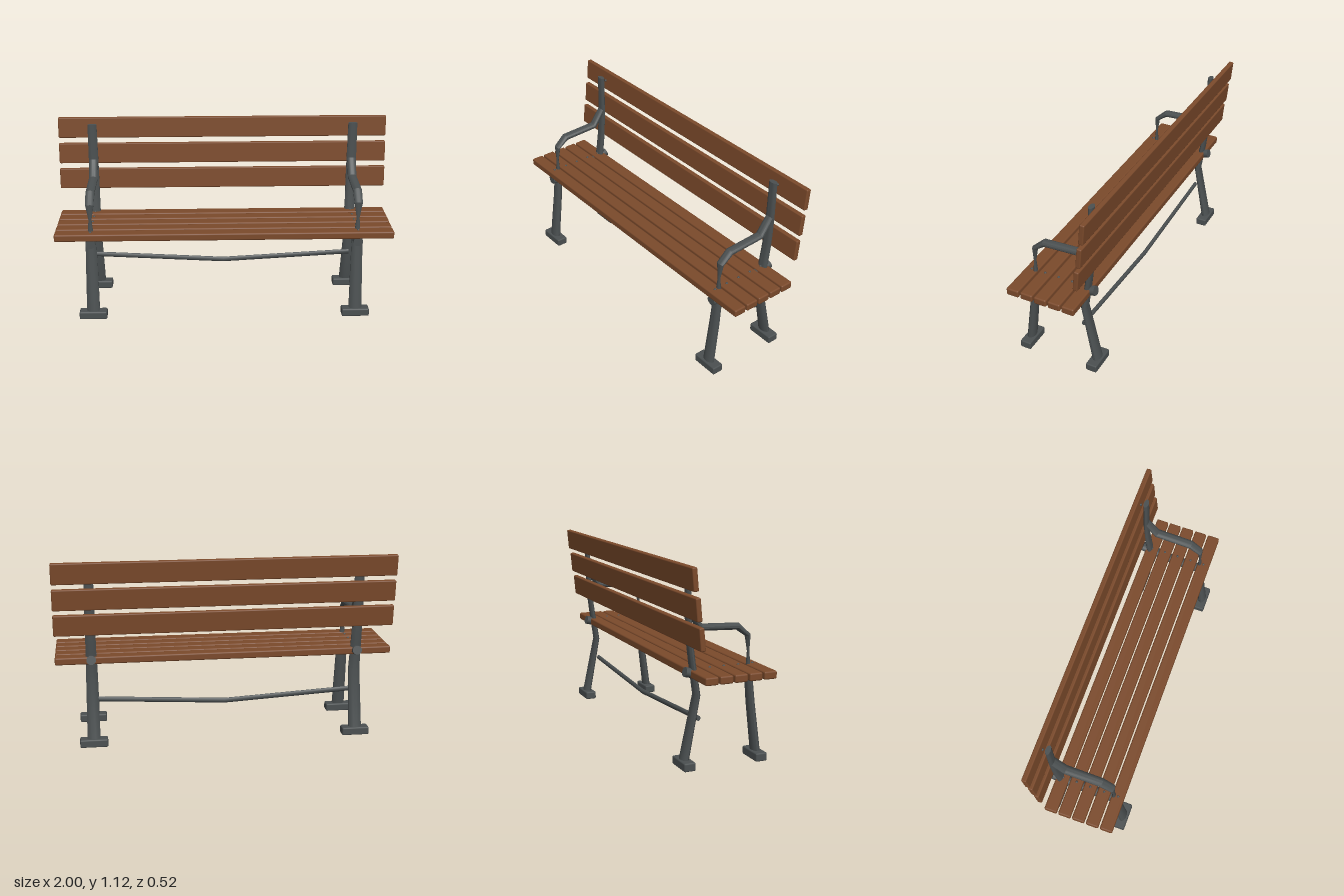
import * as THREE from 'three';
import { toCreasedNormals } from 'three/addons/utils/BufferGeometryUtils.js';
import { RoundedBoxGeometry } from 'three/addons/geometries/RoundedBoxGeometry.js';

const V = (x, y, z) => new THREE.Vector3(x, y, z);

// Elliptical bar through rows of [point, radius along side, radius across], mitred at the bends
function bar(rows, side, sides = 12) {
  const pos = [], index = [], last = rows.length - 1;
  rows.forEach(([p, rs, rn], i) => {
    const before = p.clone().sub(rows[Math.max(i - 1, 0)][0]).normalize();
    const after = rows[Math.min(i + 1, last)][0].clone().sub(p).normalize();
    const t = before.clone().add(after).normalize();
    const miter = i > 0 && i < last ? 1 / Math.max(0.6, t.dot(after)) : 1;
    const n = t.clone().cross(side).normalize();
    const s = n.clone().cross(t);
    for (let j = 0; j < sides; j++) {
      const a = ((j + 0.5) / sides) * Math.PI * 2;
      const q = p.clone().addScaledVector(s, Math.cos(a) * rs).addScaledVector(n, Math.sin(a) * rn * miter);
      pos.push(q.x, q.y, q.z);
    }
  });
  for (let i = 0; i < last; i++) {
    for (let j = 0; j < sides; j++) {
      const k = (j + 1) % sides;
      const a = i * sides + j, b = i * sides + k, c = a + sides, d = b + sides;
      index.push(a, b, c, b, d, c);
    }
  }
  // end caps
  for (let j = 1; j < sides - 1; j++) {
    const e = last * sides;
    index.push(0, j + 1, j, e, e + j, e + j + 1);
  }
  const g = new THREE.BufferGeometry();
  g.setAttribute('position', new THREE.Float32BufferAttribute(pos, 3));
  g.setIndex(index);
  return toCreasedNormals(g, 0.6);
}

export function createModel() {
  const wood = new THREE.MeshStandardMaterial({ name: 'brown wood', color: 0x7b4a2b });
  const iron = new THREE.MeshStandardMaterial({ name: 'grey iron', color: 0x4b5051 });
  const model = new THREE.Group();
  model.name = 'bench';

  const add = (parent, name, geometry, material, x = 0, y = 0, z = 0) => {
    const mesh = new THREE.Mesh(geometry, material);
    mesh.name = name;
    mesh.position.set(x, y, z);
    parent.add(mesh);
    return mesh;
  };

  // Profiles of the iron frame as [y, z, half width, half depth]
  const profiles = {
    backPost: [
      [0.03, -0.209, 0.04, 0.024], [0.4, -0.135, 0.035, 0.018], [0.57, -0.161, 0.032, 0.017],
      [0.7, -0.178, 0.031, 0.016], [0.85, -0.186, 0.03, 0.015], [1.085, -0.19, 0.028, 0.015],
    ],
    frontLeg: [[0.03, 0.228, 0.04, 0.024], [0.32, 0.192, 0.036, 0.021], [0.5, 0.175, 0.032, 0.019]],
    seatSupport: [[0.474, 0.226, 0.029, 0.027], [0.474, 0.02, 0.029, 0.027], [0.53, -0.204, 0.029, 0.027]],
    armrest: [
      [0.86, -0.184, 0.026, 0.018], [0.764, -0.115, 0.027, 0.019], [0.753, 0.105, 0.027, 0.019],
      [0.7, 0.169, 0.025, 0.013], [0.61, 0.174, 0.009, 0.006], [0.5, 0.175, 0.02, 0.014],
    ],
  };

  const footGeo = new RoundedBoxGeometry(0.165, 0.048, 0.068, 1, 0.008);
  const boltGeo = new THREE.SphereGeometry(0.008, 8, 6);
  const seatZ = [0.2, 0.114, 0.028, -0.057, -0.142];
  const backSlats = [[0.742, -0.199], [0.897, -0.22], [1.053, -0.241]];

  // Side frames, one at each end
  for (const s of [1, -1]) {
    const frame = new THREE.Group();
    frame.name = s > 0 ? 'leftFrame' : 'rightFrame';
    frame.position.x = s * 0.79;
    model.add(frame);
    for (const [name, rows] of Object.entries(profiles)) {
      add(frame, name, bar(rows.map(([y, z, w, d]) => [V(0, y, z), w, d]), V(1, 0, 0)), iron);
    }
    add(frame, 'frontFoot', footGeo, iron, 0, 0.024, 0.226);
    add(frame, 'backFoot', footGeo, iron, 0, 0.024, -0.205);
    // bolts through the slats
    for (const z of seatZ) add(frame, 'seatBolt', boltGeo, iron, 0, 0.54, z);
    for (const [y, z] of backSlats) add(frame, 'backBolt', boltGeo, iron, 0, y, z + 0.016);
  }

  // Bowed brace between the back legs
  const brace = [[-0.79, 0.265], [0, 0.22], [0.79, 0.265]].map(([x, y]) => [V(x, y, -0.12), 0.011, 0.015]);
  add(model, 'crossBrace', bar(brace, V(0, 0, 1)), iron);

  // Wooden slats
  const seatGeo = new RoundedBoxGeometry(2, 0.044, 0.075, 2, 0.009);
  for (const z of seatZ) add(model, 'seatSlat', seatGeo, wood, 0, 0.519, z);
  const backGeo = new RoundedBoxGeometry(2, 0.125, 0.029, 2, 0.007);
  for (const [y, z] of backSlats) add(model, 'backSlat', backGeo, wood, 0, y, z).rotation.x = -0.09;

  return model;
}
